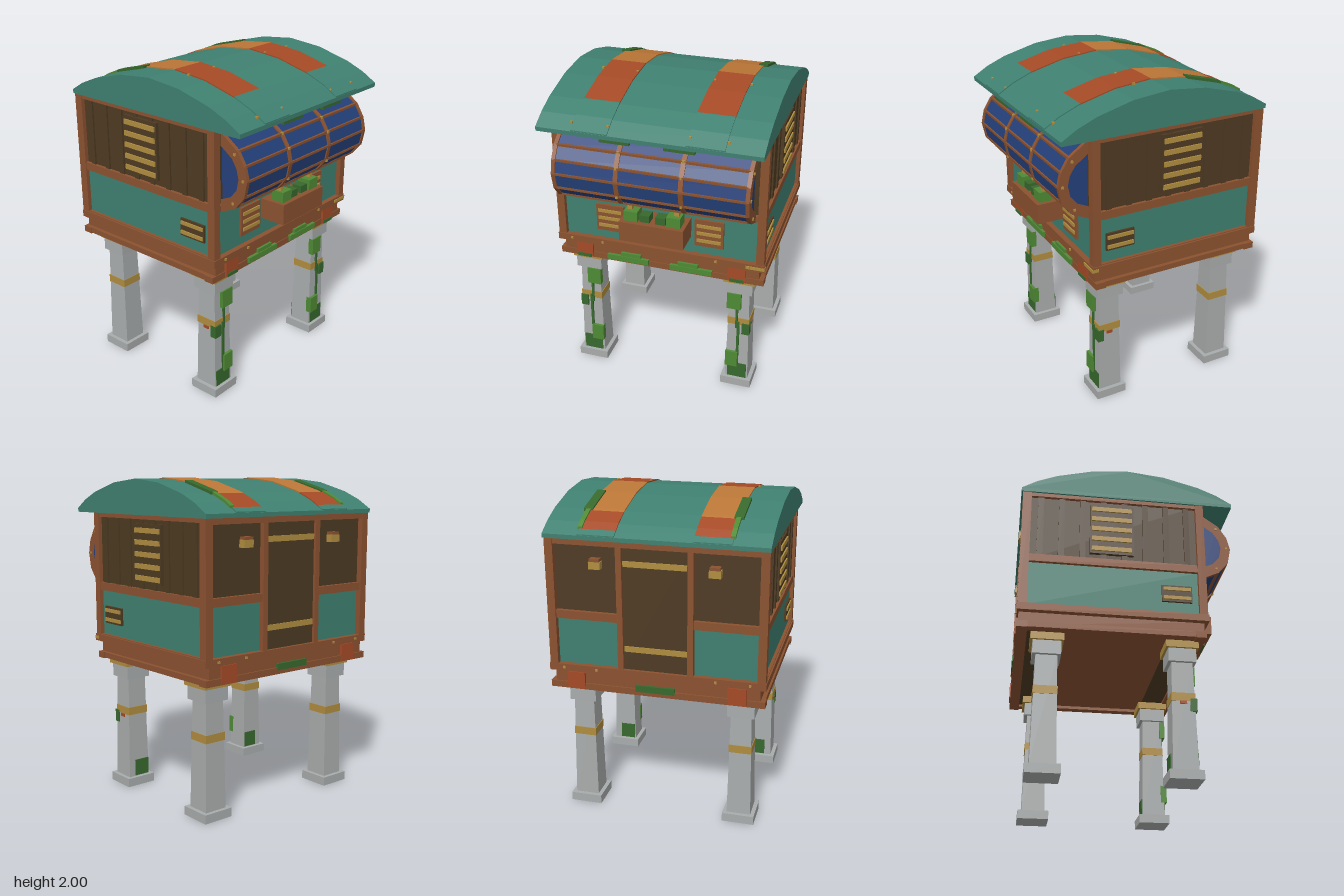
import * as THREE from 'three';

const material = (name, color) => Object.assign(new THREE.MeshStandardMaterial({ color }), { name });
const teal = material('teal paint', 0x3f8070);
const wood = material('brown wood', 0x8b5230);
const dark = material('dark timber', 0x4d3a22);
const brass = material('brass', 0xb08d3f);
const stone = material('grey stone', 0xa9acac);
const rust = material('rust red', 0xa54a26);
const orange = material('orange canvas', 0xbb7637);
const glass = material('blue glass', 0x24407a);
const leaf = material('light green', 0x4f8a35);
const moss = material('dark green', 0x37682d);

// Arched roof outline and bowed window outline as [z, y]
const ROOF = [[0.665, 1.805], [0.57, 1.862], [0.45, 1.912], [0.23, 1.97], [0, 1.993],
  [-0.23, 1.97], [-0.45, 1.912], [-0.57, 1.862], [-0.665, 1.805]];
const BOW = [[0.47, 1.76], [0.59, 1.675], [0.64, 1.595], [0.66, 1.51], [0.64, 1.41], [0.578, 1.335], [0.47, 1.285]];

const roofY = (z) => {
  const i = Math.max(1, ROOF.findIndex((p) => p[0] <= z));
  const [a, b] = [ROOF[i - 1], ROOF[i]];
  return a[1] + (b[1] - a[1]) * (z - a[0]) / (b[0] - a[0]);
};
const bowAt = (s) => BOW.map(([z, y]) => [0.47 + (z - 0.47) * s, 1.522 + (y - 1.522) * s]);

export function createModel() {
  const model = new THREE.Group();
  model.name = 'stiltedWagonHouse';

  const add = (name, mat, geometry) => {
    const mesh = new THREE.Mesh(geometry, mat);
    mesh.name = name;
    model.add(mesh);
    return mesh;
  };
  // Box given by its limits
  const box = (name, mat, x0, x1, y0, y1, z0, z1) => add(name, mat,
    new THREE.BoxGeometry(x1 - x0, y1 - y0, z1 - z0).translate((x0 + x1) / 2, (y0 + y1) / 2, (z0 + z1) / 2));
  // The same box on the left and right
  const pair = (name, mat, x0, x1, ...rest) => {
    box(name, mat, x0, x1, ...rest);
    box(name, mat, -x1, -x0, ...rest);
  };
  // Side outline [z, y] stretched along x
  const sideExtrude = (name, mat, points, x0, x1, hole) => {
    const shape = new THREE.Shape(points.map((p) => new THREE.Vector2(...p)));
    if (hole) shape.holes.push(new THREE.Path(hole.map((p) => new THREE.Vector2(...p))));
    const g = new THREE.ExtrudeGeometry(shape, { depth: x1 - x0, bevelEnabled: false });
    return add(name, mat, g.rotateY(-Math.PI / 2).translate(x1, 0, 0));
  };
  const rivet = (x, y, z) => box('rivet', brass, x - 0.007, x + 0.007, y - 0.007, y + 0.007, z - 0.007, z + 0.007);

  // Stone legs with brass collars
  for (const sx of [-1, 1]) for (const z of [0.33, -0.47]) {
    const x = sx * 0.5;
    const block = (name, mat, w, y0, y1) => box(name, mat, x - w / 2, x + w / 2, y0, y1, z - w / 2, z + w / 2);
    block('legFoot', stone, 0.2, 0, 0.055);
    const shaft = new THREE.CylinderGeometry(0.127 / Math.SQRT2, 0.15 / Math.SQRT2, 0.67, 4);
    add('legShaft', stone, shaft.rotateY(Math.PI / 4).toNonIndexed().translate(x, 0.39, z)).geometry.computeVertexNormals();
    block('legBand', brass, 0.142, 0.475, 0.525);
    block('legCapital', stone, 0.168, 0.72, 0.805);
    block('legCollar', brass, 0.197, 0.805, 0.85);
  }

  // Climbing plants on the front legs
  pair('legVine', moss, 0.493, 0.51, 0.1, 0.5, 0.36, 0.409);
  pair('legVine', moss, 0.482, 0.497, 0.45, 0.62, 0.36, 0.407);
  pair('legLeaf', leaf, 0.425, 0.515, 0.6, 0.715, 0.38, 0.416);
  pair('legLeaf', leaf, 0.425, 0.505, 0.145, 0.26, 0.38, 0.42);
  pair('legMoss', moss, 0.44, 0.565, 0.055, 0.165, 0.38, 0.408);
  pair('legMoss', moss, 0.525, 0.575, 0.41, 0.49, 0.37, 0.41);
  pair('legMoss', moss, 0.43, 0.53, 0.06, 0.165, 0.25, 0.27);
  pair('legRustMark', rust, 0.55, 0.574, 0.455, 0.475, 0.31, 0.35);

  // Platform in three steps
  box('platformBase', wood, -0.63, 0.63, 0.87, 0.96, -0.645, 0.46);
  for (const [z0, z1] of [[0.4, 0.465], [-0.655, -0.59]]) box('lowerBeam', wood, -0.66, 0.66, 0.845, 0.885, z0, z1);
  pair('lowerSideBeam', wood, 0.6, 0.655, 0.85, 0.885, -0.59, 0.4);
  box('floorShadowBoard', dark, -0.6, 0.6, 0.864, 0.872, 0.26, 0.4);
  box('floorShadowBoard', dark, -0.6, 0.6, 0.864, 0.872, -0.59, -0.45);
  box('platformTop', wood, -0.665, 0.665, 0.955, 1.0, -0.655, 0.485);
  pair('frontBracket', rust, 0.44, 0.55, 0.85, 0.957, 0.44, 0.474);
  pair('backBracket', rust, 0.44, 0.55, 0.85, 0.957, -0.662, -0.62);
  pair('bracketMoss', moss, 0.45, 0.54, 0.848, 0.87, 0.46, 0.479);
  pair('frameLeaf', leaf, 0.07, 0.34, 0.86, 0.895, 0.44, 0.48);
  pair('frameLeafTop', leaf, 0.12, 0.25, 0.895, 0.92, 0.44, 0.475);
  box('backMoss', moss, -0.12, 0.12, 0.87, 0.91, -0.663, -0.62);
  box('brassPlate', brass, 0.55, 0.667, 0.967, 0.987, 0.45, 0.489);
  for (const x of [-0.57, -0.365, 0.365, 0.57]) for (const z of [0.485, -0.655]) rivet(x, 0.98, z);

  // Walls
  box('lowerWall', teal, -0.635, 0.635, 1.0, 1.3, -0.62, 0.45);
  box('upperWall', dark, -0.635, 0.635, 1.3, 1.79, -0.62, 0.45);

  // Timber frame
  pair('frontPost', wood, 0.61, 0.66, 1.0, 1.785, 0.43, 0.48);
  pair('backPost', wood, 0.61, 0.66, 1.0, 1.785, -0.655, -0.6);
  pair('sideMiddleRail', wood, 0.62, 0.655, 1.29, 1.34, -0.6, 0.43);
  pair('sideTopRail', wood, 0.62, 0.655, 1.755, 1.785, -0.6, 0.43);
  pair('sideSill', wood, 0.62, 0.655, 0.995, 1.006, -0.6, 0.43);
  box('frontMiddleRail', wood, -0.61, 0.61, 1.29, 1.325, 0.43, 0.475);
  box('frontTopRail', wood, -0.61, 0.61, 1.75, 1.785, 0.43, 0.475);
  box('backTopRail', wood, -0.61, 0.61, 1.745, 1.785, -0.65, -0.6);
  pair('backMiddleRail', wood, 0.22, 0.61, 1.29, 1.34, -0.645, -0.6);

  // Upright battens and louvred vents on both sides
  for (let i = 0; i < 8; i++) {
    const z = 0.37 - i * 0.13;
    pair('sideBatten', dark, 0.63, 0.645, 1.34, 1.755, z - 0.018, z + 0.018);
  }
  pair('sideVent', dark, 0.63, 0.655, 1.375, 1.73, -0.235, 0.035);
  for (let i = 0; i < 5; i++) {
    const y = 1.407 + i * 0.071;
    pair('sideVentSlat', brass, 0.64, 0.664, y - 0.015, y + 0.015, -0.225, 0.023);
  }
  pair('lowerVent', dark, 0.63, 0.648, 1.08, 1.19, 0.205, 0.39);
  for (const y of [1.105, 1.165]) pair('lowerVentSlat', brass, 0.64, 0.656, y - 0.011, y + 0.011, 0.213, 0.382);

  // Front vents
  pair('frontVent', wood, 0.225, 0.405, 1.06, 1.24, 0.44, 0.466);
  for (const y of [1.1, 1.15, 1.2]) pair('frontVentSlat', brass, 0.24, 0.39, y - 0.01, y + 0.01, 0.45, 0.474);

  // Back door with brass straps, and lanterns beside it
  box('backDoor', dark, -0.2, 0.2, 1.0, 1.745, -0.635, -0.6);
  pair('doorPost', wood, 0.195, 0.23, 1.0, 1.75, -0.652, -0.6);
  for (const y of [1.13, 1.65]) box('doorStrap', brass, -0.19, 0.19, y - 0.017, y + 0.017, -0.642, -0.62);
  pair('lanternBracket', wood, 0.325, 0.385, 1.655, 1.672, -0.665, -0.61);
  pair('lantern', brass, 0.32, 0.39, 1.61, 1.655, -0.664, -0.62);

  // Bowed glass window with end rings, ribs and glazing bars
  sideExtrude('windowGlass', glass, bowAt(0.96), -0.58, 0.58);
  for (const x of [-0.583, 0.583]) sideExtrude('windowEndRing', wood, bowAt(1), x - 0.012, x + 0.012, bowAt(0.67).map(([z, y]) => [z + 0.002, y]));
  for (const x of [-0.195, 0.195]) sideExtrude('windowRib', wood, bowAt(1), x - 0.014, x + 0.014);
  for (const [z, y] of bowAt(0.965).slice(1, -1)) box('glazingBar', wood, -0.58, 0.58, y - 0.007, y + 0.007, z - 0.012, z + 0.006);
  for (const x of [-0.195, 0.195]) for (const i of [1, 2, 4]) rivet(x, BOW[i][1], BOW[i][0]);
  for (const x of [-0.595, 0.595]) for (const i of [1, 3, 5]) rivet(x, bowAt(0.86)[i][1], bowAt(0.86)[i][0]);

  // Flower box
  box('flowerBox', wood, -0.2, 0.2, 1.108, 1.235, 0.44, 0.62);
  pair('flowerBush', leaf, 0.09, 0.175, 1.235, 1.3, 0.51, 0.595);
  pair('flowerMoss', moss, 0.018, 0.08, 1.235, 1.28, 0.52, 0.585);
  pair('flower', brass, 0.13, 0.16, 1.3, 1.33, 0.535, 0.565);

  // Arched roof
  sideExtrude('roof', teal, [...ROOF, [-0.665, 1.78], [0.665, 1.78]], -0.665, 0.665);

  // Plates that follow the roof between two z positions, on both sides
  const roofPlate = (name, mat, x0, x1, z0, z1, lift) => {
    const zs = [z0, ...ROOF.map((p) => p[0]).filter((z) => z < z0 && z > z1), z1];
    const top = zs.map((z) => [z, roofY(z) + lift]);
    const bottom = zs.map((z) => [z, roofY(z) - 0.001]).reverse();
    sideExtrude(name, mat, [...top, ...bottom], x0, x1);
    sideExtrude(name, mat, [...top, ...bottom], -x1, -x0);
  };
  roofPlate('roofStripeEave', teal, 0.23, 0.45, 0.664, 0.445, 0.007);
  roofPlate('roofStripeFront', rust, 0.23, 0.45, 0.445, 0, 0.007);
  roofPlate('roofStripeMiddle', orange, 0.23, 0.45, 0, -0.47, 0.007);
  roofPlate('roofStripeBack', rust, 0.23, 0.45, -0.47, -0.625, 0.007);
  roofPlate('roofStripeBackEave', teal, 0.23, 0.45, -0.625, -0.664, 0.007);
  roofPlate('roofMoss', moss, 0.42, 0.475, -0.235, -0.47, 0.016);
  roofPlate('roofLeaf', leaf, 0.432, 0.46, -0.47, -0.622, 0.016);
  for (const x of [-0.46, -0.24, 0.24, 0.46]) for (const z of [0.115, 0.615]) rivet(x, roofY(z) + 0.004, z);
  pair('eaveMoss', moss, 0.1, 0.28, 1.762, 1.79, 0.64, 0.664);
  return model;
}
